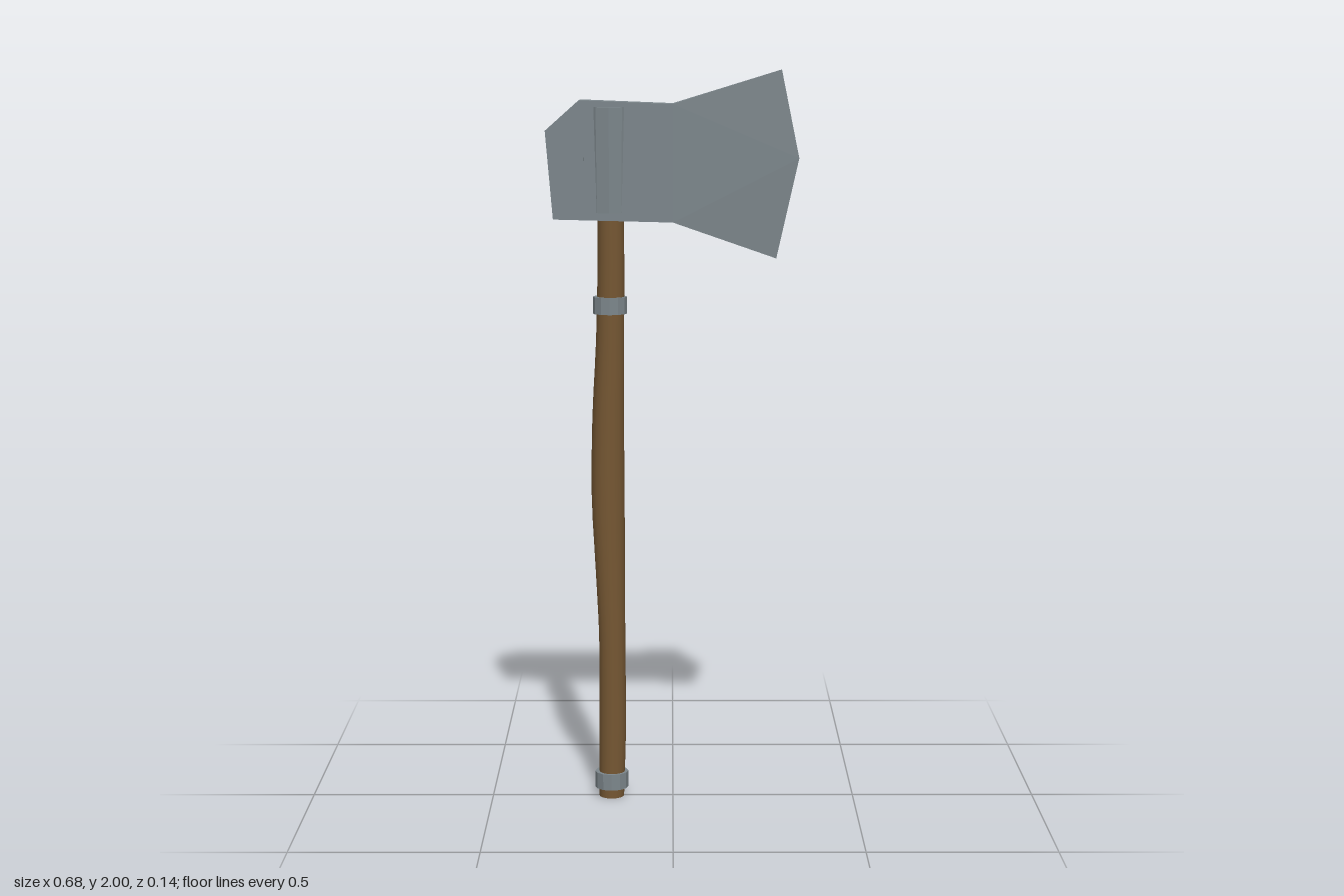
import * as THREE from 'three';
import { ConvexGeometry } from 'three/addons/geometries/ConvexGeometry.js';

const steel = new THREE.MeshStandardMaterial({ color: 0x7c868b });
steel.name = 'steel';
const wood = new THREE.MeshStandardMaterial({ color: 0x755733 });
wood.name = 'wood';

const HANDLE_X = -0.17;

function addMesh(parent, name, geometry, material, x = 0, y = 0, z = 0) {
  const mesh = new THREE.Mesh(geometry, material);
  mesh.name = name;
  mesh.position.set(x, y, z);
  parent.add(mesh);
  return mesh;
}

// Faceted cylinder with hard edges
function facetedCylinder(top, bottom, height, sides) {
  const g = new THREE.CylinderGeometry(top, bottom, height, sides).toNonIndexed();
  g.computeVertexNormals();
  return g;
}

// Convex block from [x, y, halfDepth] corners mirrored across z
function mirroredBlock(corners) {
  return new ConvexGeometry(corners.flatMap(([x, y, d]) => [
    new THREE.Vector3(x, y, d), new THREE.Vector3(x, y, -d),
  ]));
}

// Gently curved shaft: the centre line and radius vary with height
function handleGeometry() {
  const stations = [ // x, z, radius, evenly spaced in height
    [-0.17, 0.003, 0.034], [-0.167, 0.003, 0.037], [-0.167, 0.002, 0.036],
    [-0.172, -0.002, 0.040], [-0.177, 0.001, 0.045], [-0.176, 0.007, 0.043],
    [-0.170, 0.006, 0.038], [-0.167, 0.001, 0.036], [-0.167, 0, 0.035],
  ];
  const curve = new THREE.CatmullRomCurve3(stations.map((s) => new THREE.Vector3(...s)));
  const height = 1.7;
  const g = new THREE.CylinderGeometry(1, 1, height, 16, 24);
  const p = g.attributes.position;
  for (let i = 0; i < p.count; i++) {
    const t = THREE.MathUtils.clamp(p.getY(i) / height + 0.5, 0, 1);
    const s = curve.getPoint(t);
    p.setXYZ(i, s.x + p.getX(i) * s.z, t * height, s.y + p.getZ(i) * s.z);
  }
  // Keep the cap normals and smooth sides from the cylinder
  return g;
}

export function createModel() {
  const model = new THREE.Group();
  model.name = 'axe';

  // Wooden shaft with two metal bands
  addMesh(model, 'handle', handleGeometry(), wood);
  addMesh(model, 'lowerBand', facetedCylinder(0.046, 0.046, 0.045, 12), steel, HANDLE_X, 0.048, 0.001);
  addMesh(model, 'upperBand', facetedCylinder(0.046, 0.046, 0.046, 12), steel, HANDLE_X, 1.371, 0.002);

  // Head: a blunt block behind and a wedge towards the cutting edge
  const head = new THREE.Group();
  head.name = 'head';
  model.add(head);
  const D = 0.055;
  addMesh(head, 'poll', mirroredBlock([
    [-0.34, 1.84, D], [-0.25, 1.92, D], [0, 1.91, D], [0, 1.597, D], [-0.32, 1.605, D],
  ]), steel);
  addMesh(head, 'blade', mirroredBlock([
    [0, 1.91, D], [0, 1.597, D], [0.29, 2, 0.006], [0.338, 1.765, 0.006], [0.278, 1.497, 0.006],
  ]), steel);

  // Tapered socket bulging out of both cheeks, and the cross pin
  addMesh(head, 'socket', facetedCylinder(0.07, 0.0645, 0.28, 12), steel, HANDLE_X, 1.762, 0);
  addMesh(head, 'pin', facetedCylinder(0.014, 0.014, 0.122, 10), steel, -0.25, 1.765, 0)
    .rotation.x = Math.PI / 2;

  return model;
}
